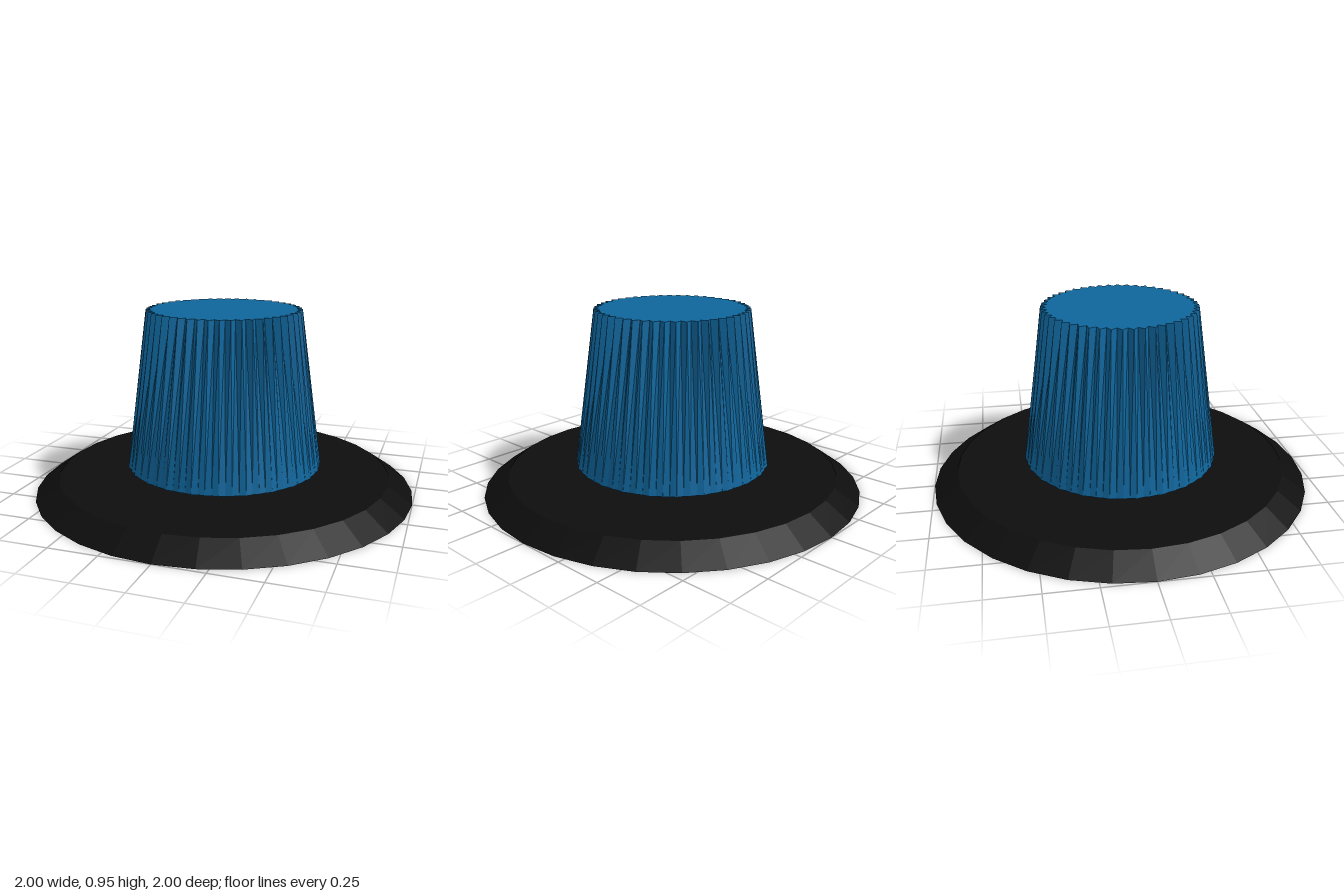
import * as THREE from 'three';

const TEETH = 48;      // ridges around the knob
const SKIRT_SIDES = 24; // polygon the ridges run out into at the bottom

const material = (color) => new THREE.MeshStandardMaterial({ color, flatShading: true });

// Cylinder or cone frustum standing between two heights
function frustum(name, topRadius, bottomRadius, y0, y1, sides, mat) {
  const geometry = new THREE.CylinderGeometry(topRadius, bottomRadius, y1 - y0, sides);
  geometry.translate(0, (y0 + y1) / 2, 0);
  const mesh = new THREE.Mesh(geometry, mat);
  mesh.name = name;
  return mesh;
}

// Pull the vertices into ridges: deep at the top, fading into a plain polygon at the bottom
function flute(geometry, yMiddle) {
  const p = geometry.attributes.position;
  const step = Math.PI / TEETH;
  const side = (2 * Math.PI) / SKIRT_SIDES;
  for (let i = 0; i < p.count; i++) {
    const x = p.getX(i), z = p.getZ(i);
    if (Math.hypot(x, z) < 0.01) continue; // cap centres stay put
    const angle = Math.atan2(x, z) + 2 * Math.PI;
    const valley = Math.round(angle / step) % 2 === 1;
    let radius;
    if (p.getY(i) > yMiddle) {
      radius = valley ? 0.372 : 0.402;
    } else {
      const offset = (angle % side) - side / 2;
      radius = (0.515 * Math.cos(side / 2)) / Math.cos(offset) - (valley ? 0.004 : 0);
    }
    p.setXYZ(i, radius * Math.sin(angle), p.getY(i), radius * Math.cos(angle));
  }
  geometry.computeVertexNormals();
}

export function createModel() {
  const group = new THREE.Group();
  group.name = 'controlKnob';
  const black = material(0x0d0d0d);
  const blue = material(0x0f659b);

  // Bevelled base disc and the short neck above it
  group.add(frustum('baseFlange', 0.875, 1, 0, 0.085, 32, black));
  group.add(frustum('neck', 0.28, 0.28, 0.08, 0.135, 32, black));

  // Ridged, tapered grip
  const grip = frustum('knobGrip', 0.4, 0.515, 0.128, 0.953, TEETH * 2, blue);
  flute(grip.geometry, 0.5);
  group.add(grip);

  return group;
}
